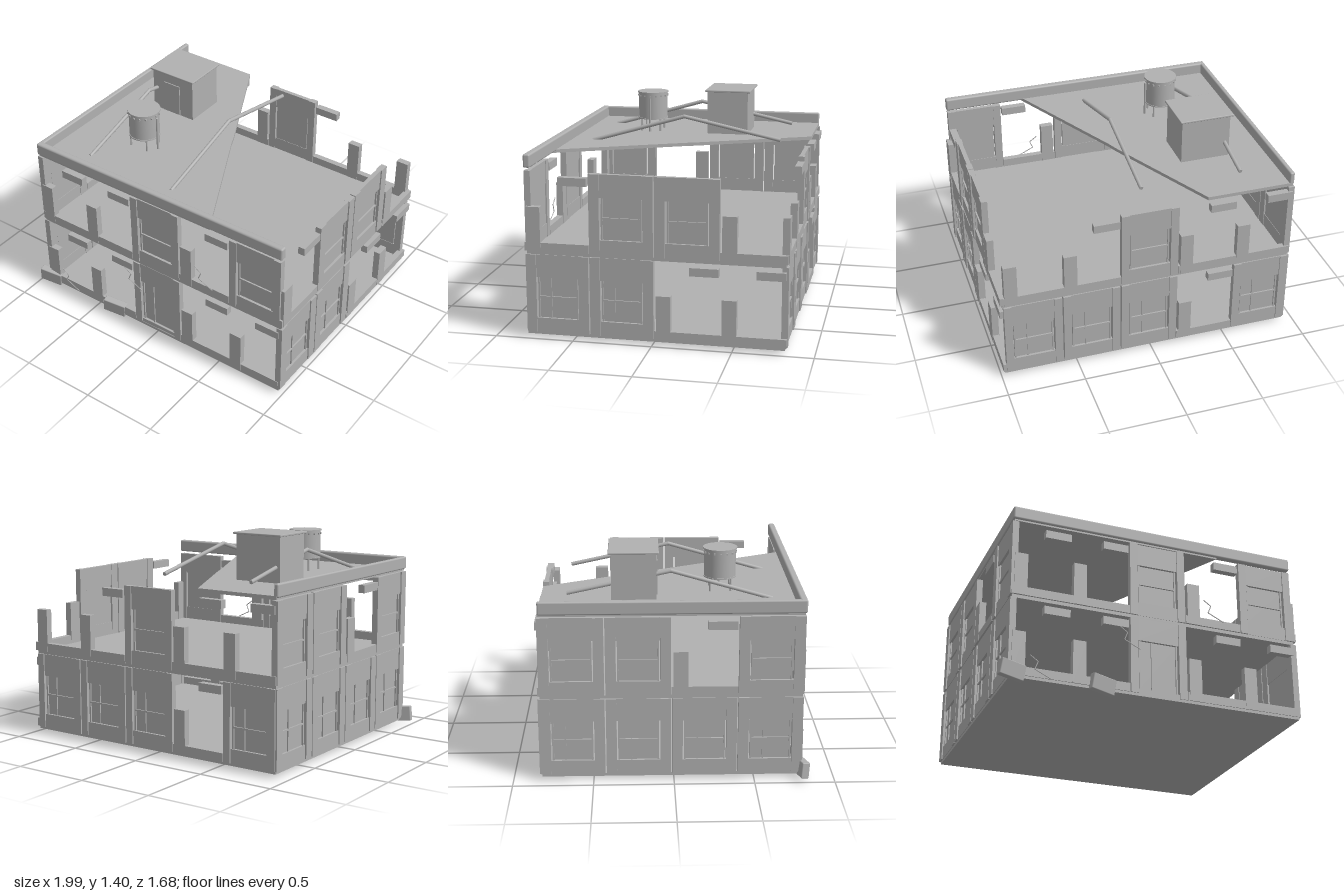
import * as THREE from 'three';
import { RoundedBoxGeometry } from 'three/addons/geometries/RoundedBoxGeometry.js';

const concrete = new THREE.MeshStandardMaterial({ color: 0xb0b0b0 });
concrete.name = 'concrete grey';

function add(parent, name, geometry, x = 0, y = 0, z = 0) {
  const mesh = new THREE.Mesh(geometry, concrete);
  mesh.name = name;
  mesh.position.set(x, y, z);
  parent.add(mesh);
  return mesh;
}

// Box given by its minimum and maximum on each axis
function box(parent, name, x0, x1, y0, y1, z0, z1, round = 0) {
  const size = [x1 - x0, y1 - y0, z1 - z0];
  const geometry = round ? new RoundedBoxGeometry(...size, 2, round) : new THREE.BoxGeometry(...size);
  return add(parent, name, geometry, (x0 + x1) / 2, (y0 + y1) / 2, (z0 + z1) / 2);
}

// Straight round bar between two points
function bar(parent, name, a, b, radius, sides = 10) {
  const from = new THREE.Vector3(...a), to = new THREE.Vector3(...b);
  const direction = to.clone().sub(from);
  const mesh = add(parent, name, new THREE.CylinderGeometry(radius, radius, direction.length(), sides));
  mesh.position.copy(from).lerp(to, 0.5);
  mesh.quaternion.setFromUnitVectors(new THREE.Vector3(0, 1, 0), direction.normalize());
  return mesh;
}

// Whole bay: two pilasters, spandrels and a recessed window or door
function wholeBay(w, kind) {
  const bay = new THREE.Group();
  bay.name = kind === 'D' ? 'doorBay' : 'windowBay';
  const p = (w - 0.27) / 2, c = w / 2, h = 0.5;
  const low = kind === 'D' ? 0.03 : 0.09, high = 0.353;
  box(bay, 'pilaster', 0.004, p, 0, h, -0.04, 0);
  box(bay, 'pilaster', w - p, w - 0.004, 0, h, -0.04, 0);
  box(bay, 'lowerSpandrel', p, w - p, 0, low, -0.036, -0.008);
  box(bay, 'upperSpandrel', p, w - p, high, h, -0.036, -0.008);
  box(bay, 'pane', c - 0.127, c + 0.127, low, high, -0.033, -0.024);
  for (const s of [-1, 1]) {
    box(bay, 'frameSide', c + s * 0.122 - 0.005, c + s * 0.122 + 0.005, low, high, -0.026, -0.014);
  }
  if (kind !== 'D') box(bay, 'crossBar', c - 0.12, c + 0.12, 0.219, 0.23, -0.025, -0.014);
  if (kind !== 'U') box(bay, 'uprightBar', w * 0.39 - 0.004, w * 0.39 + 0.004, low, high, -0.025, -0.016);
  return bay;
}

// Ruined bay: sill, broken pier and a leftover lintel
function brokenBay(w, hasLintel) {
  const bay = new THREE.Group();
  bay.name = 'brokenBay';
  box(bay, 'sill', 0, w, 0, 0.055, -0.04, 0);
  box(bay, 'brokenPier', 0.012, 0.012 + w * 0.22, 0, 0.28, -0.042, 0.002);
  if (hasLintel) box(bay, 'lintel', w * 0.54, w * 0.98, 0.42, 0.472, -0.042, 0.003);
  return bay;
}

// W window, U upper window, D door, B broken, N broken without lintel
function wall(parent, name, length, code, x, y, z, turn) {
  const group = new THREE.Group();
  group.name = name;
  const w = length / code.length;
  [...code].forEach((kind, i) => {
    const bay = 'BN'.includes(kind) ? brokenBay(w, kind === 'B') : wholeBay(w, kind);
    bay.position.x = i * w;
    group.add(bay);
  });
  group.position.set(x, y, z);
  group.rotation.y = turn;
  parent.add(group);
}

export function createModel() {
  const model = new THREE.Group();
  model.name = 'ruinedBuilding';

  // Floors
  box(model, 'groundSlab', -0.92, 0.975, 0.028, 0.048, -0.82, 0.795);
  box(model, 'upperFloor', -0.92, 0.975, 0.546, 0.568, -0.82, 0.79);

  // Walls, each read left to right from outside
  const storeys = [
    { y: 0.046, front: 'BBDBB', right: 'WWBB', back: 'WWWBW', left: 'WWWW' },
    { y: 0.568, front: 'BBUBU', right: 'BUUN', back: 'NBUBB', left: 'UUBU' },
  ];
  for (const s of storeys) {
    wall(model, 'frontWall', 1.895, s.front, -0.925, s.y, 0.8, 0);
    wall(model, 'rightWall', 1.63, s.right, 0.987, s.y, 0.8, Math.PI / 2);
    wall(model, 'backWall', 1.895, s.back, 0.97, s.y, -0.835, Math.PI);
    wall(model, 'leftWall', 1.63, s.left, -0.932, s.y, -0.83, -Math.PI / 2);
  }

  // Torn roof slab, outlined in x and z
  const outline = [[-0.92, 0.79], [0.445, 0.79], [0.04, -0.02], [0.01, -0.09], [-0.355, -0.82], [-0.92, -0.82]];
  const roofShape = new THREE.Shape(outline.map(([x, z]) => new THREE.Vector2(x, -z)));
  const roofGeometry = new THREE.ExtrudeGeometry(roofShape, { depth: 0.022, bevelEnabled: false });
  add(model, 'tornRoof', roofGeometry.rotateX(-Math.PI / 2), 0, 1.074, 0);

  // Parapets
  box(model, 'frontParapet', -0.93, 0.972, 1.085, 1.17, 0.758, 0.803, 0.012);
  box(model, 'leftParapet', -0.93, -0.898, 1.085, 1.168, -0.82, 0.795, 0.01);

  // Roof hut
  box(model, 'hut', -0.66, -0.335, 1.095, 1.386, -0.38, -0.1);
  box(model, 'hutLid', -0.675, -0.32, 1.386, 1.4, -0.398, -0.085, 0.004);
  box(model, 'hutDoor', -0.57, -0.44, 1.1, 1.32, -0.1, -0.093);

  // Water tank on legs
  const tank = new THREE.Group();
  tank.name = 'waterTank';
  tank.position.set(-0.425, 0, 0.305);
  model.add(tank);
  add(tank, 'tankBody', new THREE.CylinderGeometry(0.1, 0.1, 0.18, 32), 0, 1.27, 0);
  add(tank, 'tankLid', new THREE.CylinderGeometry(0.108, 0.108, 0.008, 32), 0, 1.365, 0);
  add(tank, 'tankBase', new THREE.CylinderGeometry(0.104, 0.104, 0.008, 32), 0, 1.183, 0);
  for (let i = 0; i < 16; i++) {
    const a = (i / 16) * Math.PI * 2;
    box(tank, 'rivet', -0.005, 0.005, 1.337, 1.347, -0.005, 0.005)
      .position.set(Math.cos(a) * 0.102, 1.342, Math.sin(a) * 0.102);
  }
  for (const sx of [-1, 1]) for (const sz of [-1, 1]) {
    bar(tank, 'tankLeg', [sx * 0.065, 1.09, sz * 0.065], [sx * 0.065, 1.19, sz * 0.065], 0.006, 8);
  }
  bar(tank, 'tankPipe', [0.106, 1.09, 0], [0.106, 1.33, 0], 0.008);

  // Bent beams lying over the roof
  for (const x of [-0.63, 0.027]) {
    bar(model, 'bentBeam', [x, 1.09, 0.62], [x, 1.272, -0.01], 0.013);
    bar(model, 'bentBeam', [x, 1.272, -0.01], [x, 1.135, -0.655], 0.013);
    add(model, 'beamElbow', new THREE.SphereGeometry(0.013, 12, 8), x, 1.272, -0.01);
  }

  // Zigzag cracks on the front
  const zigzag = [[0, 0], [0.05, -0.035], [0.03, -0.085], [0.135, -0.135]];
  for (const [x, y] of [[0.335, 0.75], [-0.235, 0.467], [-0.8, 0.18]]) {
    for (let i = 0; i < 3; i++) {
      const [a, b] = [zigzag[i], zigzag[i + 1]];
      bar(model, 'crack', [x + a[0], y + a[1], 0.803], [x + b[0], y + b[1], 0.803], 0.003, 6);
    }
  }

  // Fallen blocks at the foot of the front
  for (const [x, y, z, yaw] of [[-0.91, 0.067, 0.8, 0.2], [-0.345, 0.063, 0.795, 0.2]]) {
    const block = add(model, 'fallenBlock', new RoundedBoxGeometry(0.16, 0.1, 0.05, 1, 0.006), x, y, z);
    block.rotation.set(0.12, yaw, -0.14);
  }
  return model;
}
